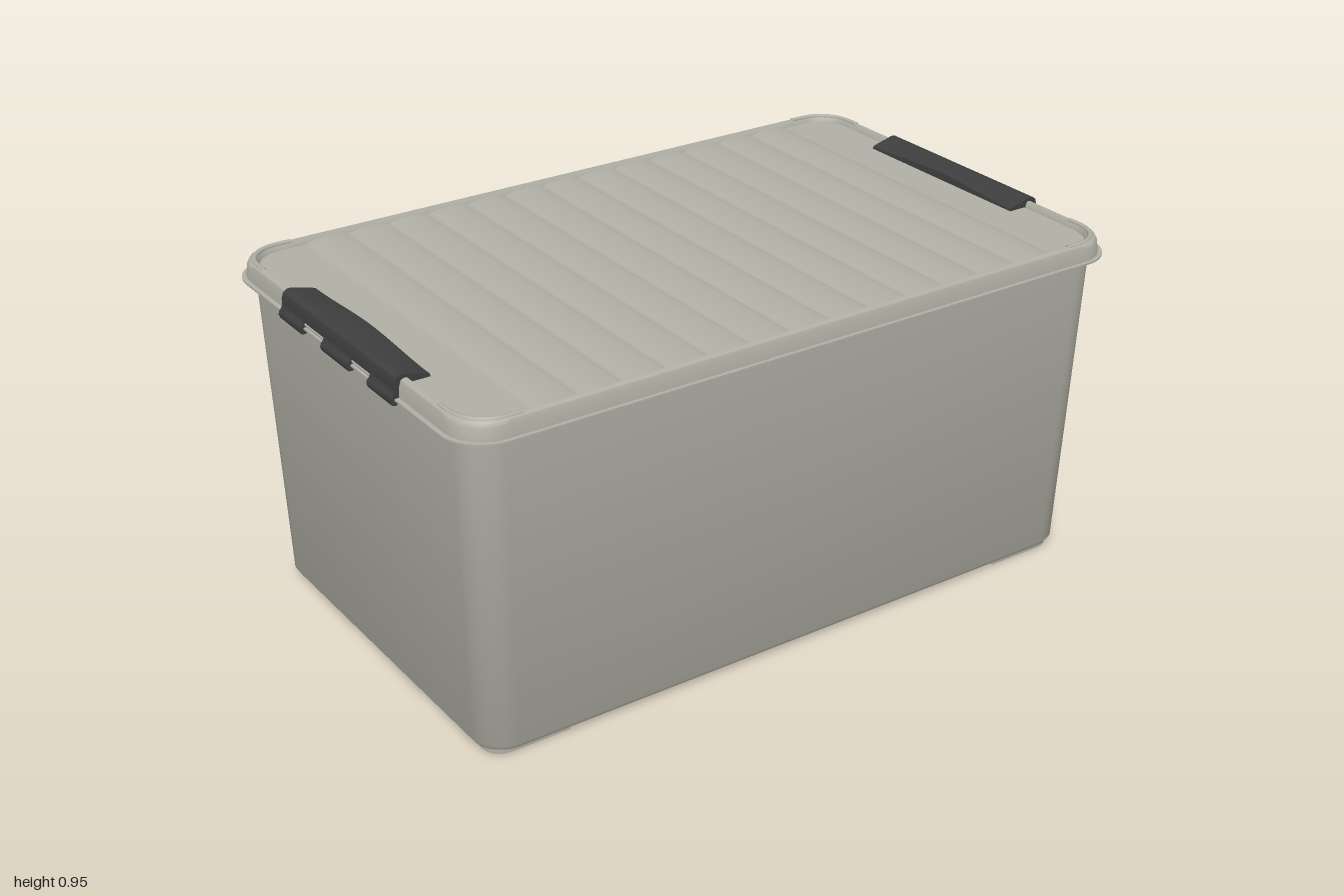
import * as THREE from 'three';
import { toCreasedNormals } from 'three/addons/utils/BufferGeometryUtils.js';

const CORNER_STEPS = 10;

// Rounded rectangle outline in x/z at height y
function ring([hx, hz, r, y]) {
  const pts = [];
  [[1, 1], [-1, 1], [-1, -1], [1, -1]].forEach(([sx, sz], q) => {
    for (let i = 0; i <= CORNER_STEPS; i++) {
      const a = (q + i / CORNER_STEPS) * Math.PI / 2;
      pts.push([sx * (hx - r) + r * Math.cos(a), y, sz * (hz - r) + r * Math.sin(a)]);
    }
  });
  return pts;
}

// Skin through a list of outlines, with optional caps
function loft(sections, capBottom, capTop) {
  const rings = sections.map(ring), n = rings[0].length;
  const pos = rings.flat(2), idx = [];
  for (let i = 0; i < rings.length - 1; i++) {
    for (let j = 0; j < n; j++) {
      const a = i * n + j, b = i * n + (j + 1) % n;
      idx.push(a, a + n, b, b, a + n, b + n);
    }
  }
  const cap = (k, up) => {
    const c = pos.length / 3;
    pos.push(0, sections[k][3], 0);
    for (let j = 0; j < n; j++) {
      const a = k * n + j, b = k * n + (j + 1) % n;
      if (up) idx.push(c, b, a); else idx.push(c, a, b);
    }
  };
  if (capBottom) cap(0, false);
  if (capTop) cap(rings.length - 1, true);
  const g = new THREE.BufferGeometry();
  g.setAttribute('position', new THREE.Float32BufferAttribute(pos, 3));
  g.setIndex(idx);
  return toCreasedNormals(g, 0.7);
}

// Profile in x/y swept along z, centred on z = 0
function sweep(points, length, steps = 1) {
  const shape = new THREE.Shape(points.map(([x, y]) => new THREE.Vector2(x, y)));
  const g = new THREE.ExtrudeGeometry(shape, { depth: length, steps, bevelEnabled: false });
  return g.translate(0, 0, -length / 2);
}

export function createModel() {
  const group = new THREE.Group();
  const plastic = new THREE.MeshStandardMaterial({ color: 0xb0afa5 });
  plastic.name = 'greyPlastic';
  plastic.side = THREE.DoubleSide;
  const dark = new THREE.MeshStandardMaterial({ color: 0x3e3e3e });
  dark.name = 'darkClipPlastic';
  const add = (name, geo, mat, parent = group) => {
    const m = new THREE.Mesh(geo, mat);
    m.name = name;
    parent.add(m);
    return m;
  };

  // Tapered tub with rounded bottom edge and a thin flange at the top
  add('tub', loft([
    [0.905, 0.535, 0.07, 0.012],
    [0.922, 0.552, 0.08, 0.017],
    [0.931, 0.561, 0.085, 0.032],
    [0.957, 0.589, 0.09, 0.888],
    [0.99, 0.621, 0.115, 0.888],
    [0.99, 0.621, 0.115, 0.893],
    [0.95, 0.58, 0.09, 0.893],
  ], true, false), plastic);

  // Lid: skirt, rounded rim and a recessed channel
  add('lid', loft([
    [0.978, 0.611, 0.105, 0.892],
    [0.975, 0.608, 0.105, 0.925],
    [0.971, 0.604, 0.105, 0.936],
    [0.964, 0.597, 0.1, 0.94],
    [0.955, 0.589, 0.095, 0.94],
    [0.951, 0.585, 0.09, 0.935],
    [0.948, 0.582, 0.09, 0.92],
  ], false, true), plastic);

  // Scalloped panel with ribs running front to back
  const hx = 0.945, hz = 0.578, r = 0.085, pitch = 0.12;
  const panel = new THREE.PlaneGeometry(2, 2, 220, 2).rotateX(-Math.PI / 2);
  const p = panel.attributes.position;
  for (let i = 0; i < p.count; i++) {
    const x = p.getX(i) * hx;
    const over = Math.max(0, Math.abs(x) - (hx - r));
    const half = hz - r + Math.sqrt(Math.max(0, r * r - over * over));
    const wave = Math.abs(x) < pitch * 6.5 ? Math.abs(Math.cos(Math.PI * x / pitch)) : 0;
    p.setXYZ(i, x, 0.925 + 0.009 * Math.sqrt(wave), p.getZ(i) * half);
  }
  panel.computeVertexNormals();
  add('lidPanel', panel, plastic);

  for (const sx of [1, -1]) {
    for (const sz of [1, -1]) {
      // Raised stacking bead on each lid corner
      const cx = 0.862, cz = 0.495, br = 0.097;
      const pts = [[cx - 0.04, cz + br]];
      for (let i = 0; i <= 6; i++) {
        const a = Math.PI / 2 * (1 - i / 6);
        pts.push([cx + br * Math.cos(a), cz + br * Math.sin(a)]);
      }
      pts.push([cx + br, cz - 0.04]);
      const path = new THREE.CatmullRomCurve3(pts.map(([x, z]) => new THREE.Vector3(sx * x, 0.938, sz * z)));
      add('stackingBead', new THREE.TubeGeometry(path, 20, 0.007, 8), plastic);

      // L-shaped foot under each corner
      const foot = new THREE.Shape();
      const P = (x, z) => [sx * x, -sz * z];
      foot.moveTo(...P(0.69, 0.54));
      foot.lineTo(...P(0.85, 0.54));
      foot.quadraticCurveTo(...P(0.91, 0.54), ...P(0.91, 0.48));
      foot.lineTo(...P(0.91, 0.38));
      foot.lineTo(...P(0.885, 0.38));
      foot.lineTo(...P(0.885, 0.48));
      foot.quadraticCurveTo(...P(0.885, 0.515), ...P(0.85, 0.515));
      foot.lineTo(...P(0.69, 0.515));
      const fg = new THREE.ExtrudeGeometry(foot, { depth: 0.014, bevelEnabled: false });
      add('cornerFoot', fg.rotateX(-Math.PI / 2), plastic);

      // Small stiffening fin below the flange
      const fin = sweep([[0.95, 0.85], [0.958, 0.85], [0.985, 0.889], [0.95, 0.889]], 0.005);
      add('flangeFin', fin, plastic).position.z = sz * 0.35;
      group.children.at(-1).rotation.y = sx > 0 ? 0 : Math.PI;
    }
  }

  // Clip: arched grip with three hooks, repeated at each end
  const clipLength = 0.59;
  const grip = sweep([
    [0.893, 0.922], [0.895, 0.932], [0.91, 0.937], [0.935, 0.943], [0.96, 0.95],
    [0.972, 0.95], [0.983, 0.943], [0.988, 0.928], [0.988, 0.908], [0.965, 0.908], [0.95, 0.922],
  ], clipLength, 32);
  const gp = grip.attributes.position;
  for (let i = 0; i < gp.count; i++) {
    const x = gp.getX(i), y = gp.getY(i);
    if (y > 0.93 && x < 0.96) {
      const hump = Math.pow(Math.cos(Math.PI * gp.getZ(i) / clipLength), 2);
      gp.setY(i, y + hump * Math.min(0.013, 0.95 - y));
    }
  }
  const gripGeo = toCreasedNormals(grip, 0.6);
  const hookProfile = [
    [0.972, 0.912], [0.988, 0.912], [0.992, 0.902], [0.998, 0.896], [1, 0.886],
    [0.996, 0.877], [0.986, 0.875], [0.978, 0.88], [0.978, 0.887], [0.972, 0.89],
  ];
  for (const side of [1, -1]) {
    const clip = new THREE.Group();
    clip.name = side > 0 ? 'leftClip' : 'rightClip';
    clip.rotation.y = side > 0 ? 0 : Math.PI;
    group.add(clip);
    add('clipGrip', gripGeo, dark, clip);
    for (const [z, w] of [[-0.235, 0.12], [0.005 * side, 0.14], [0.235, 0.12]]) {
      add('clipHook', toCreasedNormals(sweep(hookProfile, w), 0.7), dark, clip).position.z = z;
    }
    // Hinge bar visible between the hooks
    const bar = new THREE.CylinderGeometry(0.005, 0.005, clipLength - 0.02, 10).rotateX(Math.PI / 2);
    add('hingeBar', bar, plastic, clip).position.set(0.982, 0.9, 0);
  }
  return group;
}
